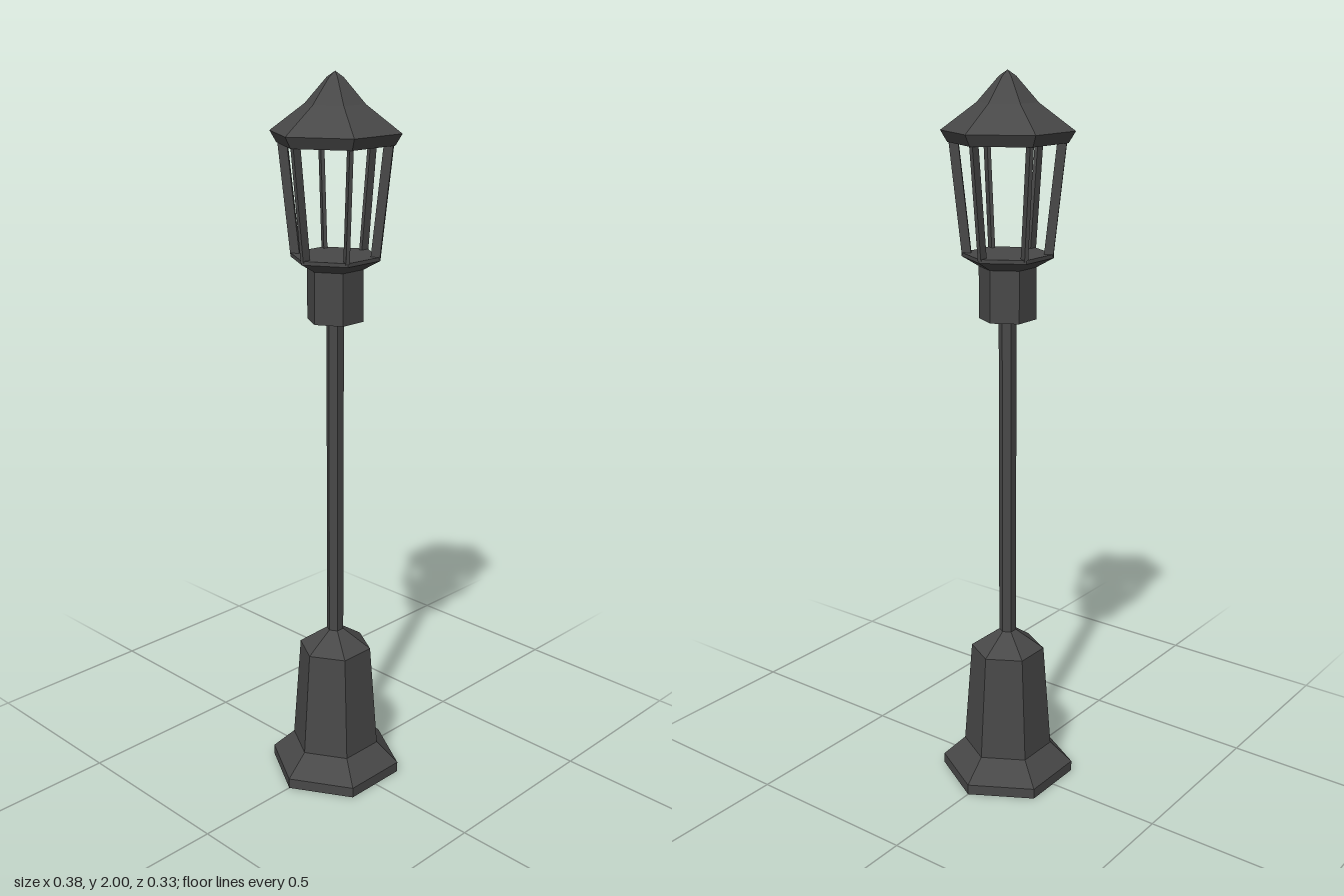
import * as THREE from 'three';

const SIDES = 6;

// Faceted hexagonal solid from [radius, height] pairs listed bottom to top, corners on the x axis
function hexSolid(name, profile, material) {
  const points = profile.map(([r, y]) => new THREE.Vector2(r, y));
  const geometry = new THREE.LatheGeometry(points, SIDES, Math.PI / 6).toNonIndexed();
  geometry.computeVertexNormals();
  const mesh = new THREE.Mesh(geometry, material);
  mesh.name = name;
  return mesh;
}

// Thin upright bar that leans outward towards its top
function leaningBar(bottomY, topY, bottomR, topR, depth, width) {
  const geometry = new THREE.BoxGeometry(depth, topY - bottomY, width).toNonIndexed();
  const pos = geometry.attributes.position;
  for (let i = 0; i < pos.count; i++) {
    const radius = pos.getY(i) > 0 ? topR : bottomR;
    pos.setX(i, pos.getX(i) + radius - depth / 2);
  }
  geometry.translate(0, (bottomY + topY) / 2, 0);
  geometry.computeVertexNormals();
  return geometry;
}

export function createModel() {
  const group = new THREE.Group();
  group.name = 'streetLamp';

  const iron = new THREE.MeshStandardMaterial({ color: 0x484848 });
  iron.name = 'dark iron';

  // Flared foot and tapered pedestal
  group.add(hexSolid('pedestal', [
    [0, 0], [0.19, 0], [0.19, 0.03], [0.127, 0.09], [0.104, 0.395], [0.024, 0.45], [0, 0.45],
  ], iron));

  // Slender pole
  group.add(hexSolid('pole', [[0.024, 0.44], [0.024, 1.37]], iron));

  // Collar widening into the lantern floor
  group.add(hexSolid('lanternCollar', [
    [0, 1.36], [0.077, 1.36], [0.077, 1.5], [0.122, 1.525], [0.122, 1.535], [0, 1.535],
  ], iron));

  // Open lantern frame, one bar per corner
  const frame = new THREE.Group();
  frame.name = 'lanternFrame';
  const barGeometry = leaningBar(1.53, 1.825, 0.121, 0.153, 0.025, 0.01);
  for (let i = 0; i < SIDES; i++) {
    const bar = new THREE.Mesh(barGeometry, iron);
    bar.name = 'frameBar';
    bar.rotation.y = (i * Math.PI * 2) / SIDES;
    frame.add(bar);
  }
  group.add(frame);

  // Overhanging roof with a steeper peak
  group.add(hexSolid('roof', [
    [0, 1.82], [0.157, 1.82], [0.175, 1.85], [0.08, 1.92], [0.022, 1.985], [0, 2],
  ], iron));

  return group;
}
